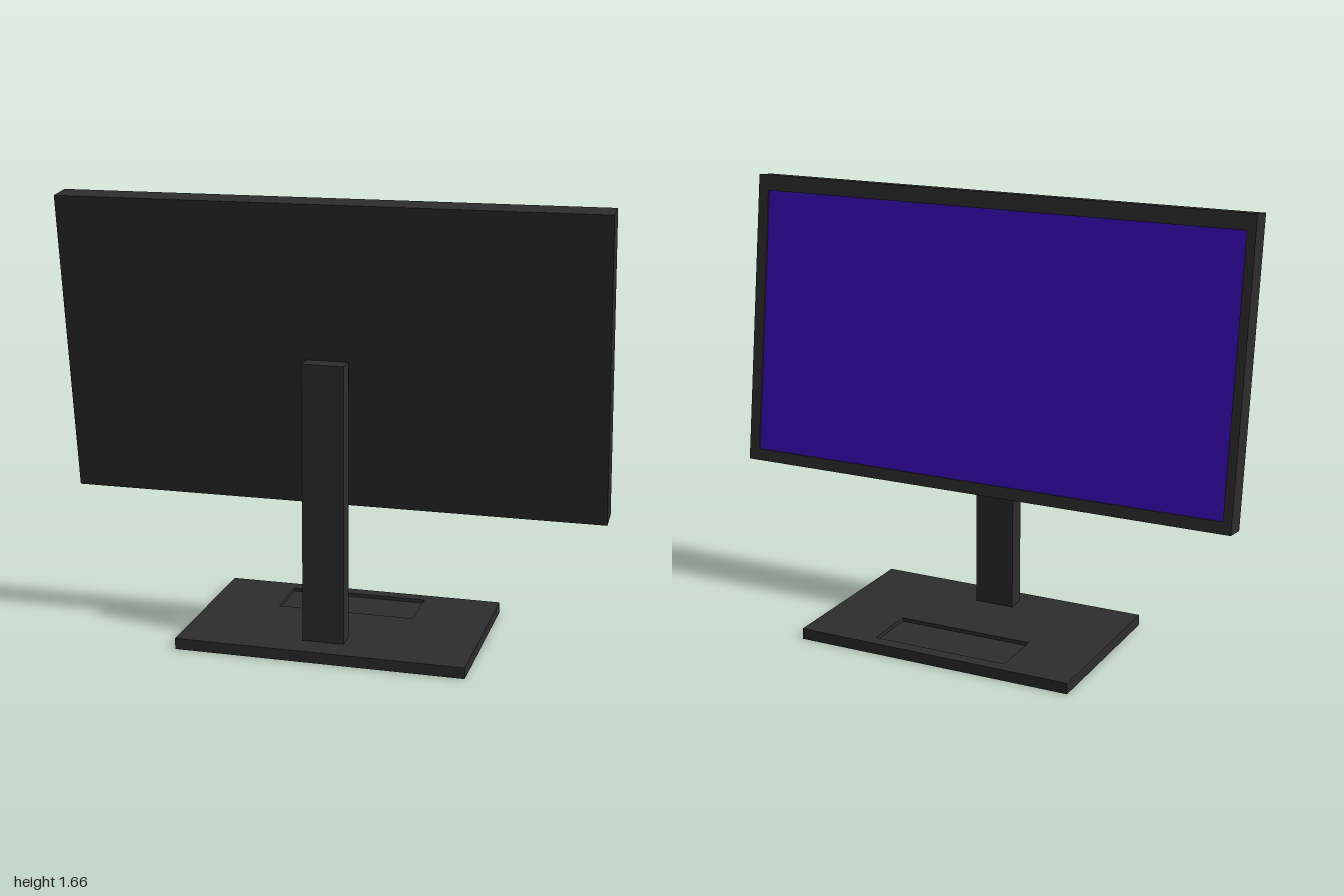
import * as THREE from 'three';

const dark = new THREE.MeshStandardMaterial({ color: 0x2d2d2d });
const blue = new THREE.MeshStandardMaterial({ color: 0x3a0abb });

function rectPoints(x0, x1, y0, y1) {
  return [[x0, y0], [x1, y0], [x1, y1], [x0, y1]].map(([x, y]) => new THREE.Vector2(x, y));
}

function addMesh(parent, name, geometry, material, x = 0, y = 0, z = 0) {
  const mesh = new THREE.Mesh(geometry, material);
  mesh.name = name;
  mesh.position.set(x, y, z);
  parent.add(mesh);
  return mesh;
}

// Slab centred on the origin with a rectangular recess sunk into its +z face
function recessedSlab(name, w, h, t, depth, hole) {
  const group = new THREE.Group();
  group.name = name;
  addMesh(group, name + 'Body', new THREE.BoxGeometry(w, h, t - depth), dark, 0, 0, -depth / 2);
  const rim = new THREE.Shape(rectPoints(-w / 2, w / 2, -h / 2, h / 2));
  rim.holes.push(new THREE.Path(rectPoints(...hole).reverse()));
  addMesh(group, name + 'Rim', new THREE.ExtrudeGeometry(rim, { depth, bevelEnabled: false }),
    dark, 0, 0, t / 2 - depth);
  return group;
}

export function createModel() {
  const model = new THREE.Group();
  model.name = 'monitor';

  // Base plate with a shallow tray
  const base = recessedSlab('base', 1.088, 0.69, 0.042, 0.014, [-0.275, 0.255, 0.085, 0.295]);
  base.rotation.x = -Math.PI / 2;
  base.position.y = 0.021;
  model.add(base);

  // Upright post
  addMesh(model, 'post', new THREE.BoxGeometry(0.155, 1.038, 0.07), dark, -0.002, 0.567, 0.22);

  // Tilted display facing -z, with the screen set into its bezel
  const w = 2, h = 1.124, t = 0.095, depth = 0.008;
  const [x0, x1, y0, y1] = [-0.957, 0.967, -h / 2 + 0.045, h / 2 - 0.06];
  const display = recessedSlab('display', w, h, t, depth, [x0, x1, y0, y1]);
  addMesh(display, 'screen', new THREE.PlaneGeometry(x1 - x0, y1 - y0), blue,
    (x0 + x1) / 2, (y0 + y1) / 2, t / 2 - depth + 0.001);
  display.rotation.set(0.125, Math.PI, 0);
  display.position.set(0, 1.099, 0.136);
  model.add(display);

  return model;
}
